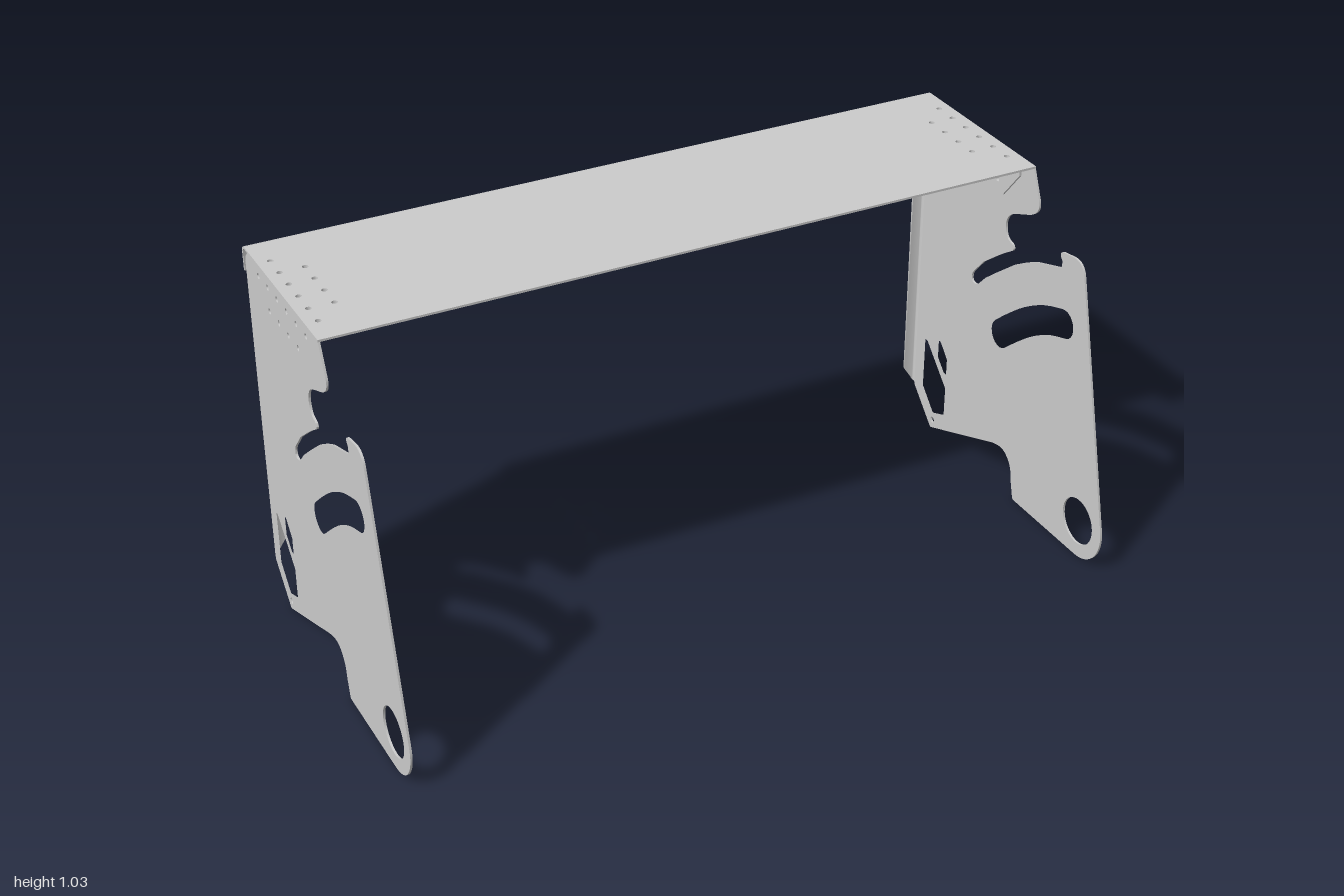
import * as THREE from 'three';
import { toCreasedNormals } from 'three/addons/utils/BufferGeometryUtils.js';

const T = 0.006; // sheet thickness
const TOP = 1.035;
const V = (x, y) => new THREE.Vector2(x, y);
const material = new THREE.MeshStandardMaterial({ color: 0xcccccc });
const boltZ = [-0.032, -0.099, -0.167, -0.234, -0.301, -0.368];

function circle(x, y, r, n = 16) {
  const p = new THREE.Path();
  p.setFromPoints(Array.from({ length: n }, (_, i) => {
    const a = (i / n) * Math.PI * 2;
    return V(x + r * Math.cos(a), y + r * Math.sin(a));
  }));
  return p;
}

// Closed outline from [z, y, corner rounding]; shape x is -z
function rounded(points) {
  const out = [], n = points.length;
  points.forEach(([z, y, d = 0], i) => {
    const p = V(-z, y);
    if (!d) return out.push(p);
    const [az, ay] = points[(i + n - 1) % n], [bz, by] = points[(i + 1) % n];
    const toward = (q) => p.clone().add(q.sub(p).setLength(Math.min(d, q.length() * 0.5)));
    const a = toward(V(-az, ay)), b = toward(V(-bz, by));
    out.push(...new THREE.QuadraticBezierCurve(a, p, b).getPoints(6));
  });
  return out;
}

// Round-ended slot following a centre line
function slot(center, r) {
  const curve = new THREE.SplineCurve(center.map(([z, y]) => V(-z, y)));
  const one = [], two = [], n = 12;
  for (let i = 0; i <= n; i++) {
    const p = curve.getPoint(i / n), t = curve.getTangent(i / n);
    one.push(V(p.x - t.y * r, p.y + t.x * r));
    two.unshift(V(p.x + t.y * r, p.y - t.x * r));
  }
  const cap = (u, dir) => {
    const p = curve.getPoint(u), t = curve.getTangent(u).multiplyScalar(dir);
    return Array.from({ length: 9 }, (_, i) => {
      const a = Math.PI / 2 - ((i + 1) * Math.PI) / 10;
      return V(p.x + r * (t.x * Math.cos(a) - t.y * Math.sin(a)), p.y + r * (t.y * Math.cos(a) + t.x * Math.sin(a)));
    });
  };
  return new THREE.Path(one.concat(cap(1, 1), two, cap(0, -1)));
}

const extrude = (shape, depth) => new THREE.ExtrudeGeometry(shape, { depth, bevelEnabled: false, curveSegments: 8 });
const upright = (shape, x) => extrude(shape, T).rotateY(Math.PI / 2).translate(x, 0, 0); // shape (-z, y)
const flat = (shape, y) => extrude(shape, T).rotateX(-Math.PI / 2).translate(0, y, 0); // shape (x, -z)

function add(group, name, geometry) {
  const mesh = new THREE.Mesh(toCreasedNormals(geometry, 0.6), material);
  mesh.name = name;
  group.add(mesh);
}

// Two rows of bolt holes; at(z, d) places a hole d away from the top corner
function boltHoles(shape, at, count) {
  boltZ.slice(0, count).forEach((z) => shape.holes.push(circle(...at(z, 0.034), 0.008)));
  boltZ.slice(1, 5).forEach((z) => shape.holes.push(circle(...at(z, 0.1), 0.008)));
}

function sidePlateShape() {
  const pivot = [];
  for (let i = 0; i <= 12; i++) {
    const a = THREE.MathUtils.degToRad(-90 + (i * 104) / 12);
    pivot.push([0.38 + 0.107 * Math.cos(a), 0.107 + 0.107 * Math.sin(a)]);
  }
  const s = new THREE.Shape(rounded([
    [0.073, 0, 0.006], ...pivot,
    // upper arm and hooked tip
    [0.303, 0.87, 0.045], [0.205, 0.854, 0.01], [0.203, 0.84, 0.006], [0.213, 0.831, 0.006], [0.213, 0.809, 0.009],
    // open curved slot
    [0.1, 0.772], [0.05, 0.747], [0, 0.717], [-0.078, 0.657], [-0.133, 0.613],
    [-0.173, 0.571, 0.016], [-0.199, 0.572, 0.016], [-0.199, 0.598, 0.014],
    [-0.147, 0.657], [-0.087, 0.703], [-0.05, 0.73], [-0.008, 0.757, 0.01], [-0.014, 0.772, 0.01],
    // rounded notch and head
    [-0.045, 0.778, 0.025], [-0.057, 0.818, 0.025], [-0.04, 0.853, 0.025], [0, 0.871],
    [0.072, 0.9, 0.03], [0.097, 0.93, 0.025], [0.055, 1.029],
    // back edge and foot
    [-0.445, 1.029], [-0.462, 1.012], [-0.462, 0.098], [-0.365, 0, 0.006],
    [-0.03, 0.13, 0.03], [0.015, 0.134, 0.025], [0.052, 0.1, 0.035], [0.06, 0.05],
  ]));
  s.holes.push(
    circle(-0.38, 0.108, 0.068, 40),
    circle(0.356, 0.03, 0.009),
    slot([[0.245, 0.656], [0.165, 0.628], [0.085, 0.583], [0.015, 0.53], [-0.045, 0.479]], 0.041),
    new THREE.Path(rounded([[-0.298, 0.168], [-0.405, 0.275, 0.005], [-0.416, 0.275, 0.003], [-0.416, 0.118], [-0.355, 0.055, 0.006], [-0.298, 0.078, 0.005]])),
    new THREE.Path(rounded([[-0.298, 0.265], [-0.335, 0.305, 0.005], [-0.345, 0.305, 0.003], [-0.345, 0.25], [-0.31, 0.215, 0.005], [-0.298, 0.215, 0.003]])),
  );
  boltHoles(s, (z, d) => [-z, TOP - d], 6);
  return s;
}

// Chamfered bracket leg with bolt holes
function legShape(at) {
  const s = new THREE.Shape([[0, T], [0, 0.05], [-0.07, 0.135], [-0.33, 0.135], [-0.4, 0.05], [-0.4, T]].map(([z, d]) => V(...at(z, d))));
  boltHoles(s, at, 5);
  return s;
}

// Bent strip: along +a, quarter bend, then along +b; returns an L profile
function bentProfile(map, a0, a1, b0, b1, r) {
  const arc = (rad) => Array.from({ length: 9 }, (_, i) => {
    const t = (i / 8) * Math.PI / 2;
    return [a1 - r + rad * Math.sin(t), b1 - r + rad * Math.cos(t)];
  });
  const outer = [[a0, b1], ...arc(r), [a1, b0]];
  const inner = [[a1 - T, b0], ...arc(r - T).reverse(), [a0, b1 - T]];
  return new THREE.Shape(outer.concat(inner).map(([a, b]) => V(...map(a, b))));
}

export function createModel() {
  const model = new THREE.Group();
  model.name = 'bracketFrame';

  // Top panel with bolt holes
  const panel = new THREE.Shape([V(-1, -0.055), V(1, -0.055), V(1, 0.46), V(-1, 0.46)]);
  for (const s of [1, -1]) boltHoles(panel, (z, d) => [s * (1 - d), -z], 6);
  add(model, 'topPanel', flat(panel, TOP - T));

  // Rounded lip folded down along the back
  const lip = bentProfile((a, b) => [a, b], 0.46, 0.4855, 0.963, TOP, 0.018);
  add(model, 'backLip', extrude(lip, 2).rotateY(Math.PI / 2).translate(-1, 0, 0));

  for (const s of [1, -1]) {
    const side = new THREE.Group();
    side.name = s > 0 ? 'leftSide' : 'rightSide';
    model.add(side);
    add(side, 'sidePlate', upright(sidePlateShape(), s > 0 ? 1 - T : -1));

    // Flange folded inward along the back edge, its lower corner cut off
    const fold = bentProfile((a, b) => [s * b, a], 0.462, 0.477, 0.962, 1, 0.014);
    const flange = extrude(fold, 1).rotateX(-Math.PI / 2);
    const p = flange.attributes.position;
    for (let i = 0; i < p.count; i++) {
      const cut = THREE.MathUtils.clamp((0.994 - Math.abs(p.getX(i))) / 0.028, 0, 1);
      p.setY(i, p.getY(i) < 0.5 ? 0.105 + 0.05 * cut : 0.998);
    }
    flange.computeVertexNormals();
    add(side, 'backFlange', flange);

    // Angle bracket joining the side plate and the top panel
    add(side, 'bracketSideLeg', upright(legShape((z, d) => [-z, TOP - d]), s > 0 ? 1 - 2 * T : -1 + T));
    add(side, 'bracketTopLeg', flat(legShape((z, d) => [s * (1 - d), -z]), TOP - 2 * T));
  }
  return model;
}
